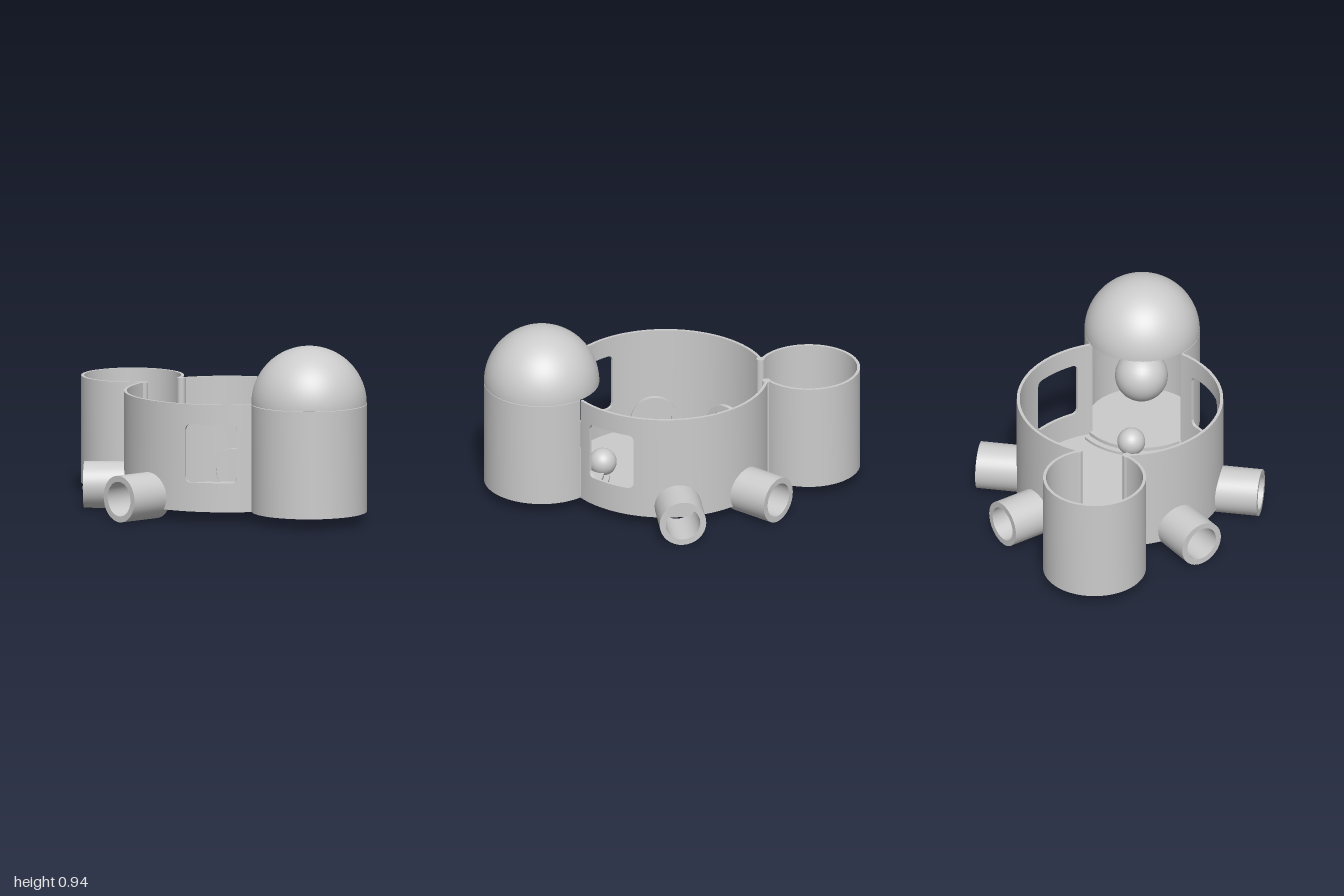
import * as THREE from 'three';
import { toCreasedNormals } from 'three/addons/utils/BufferGeometryUtils.js';

const material = new THREE.MeshStandardMaterial({ color: 0xcccccc, side: THREE.DoubleSide });
const rad = THREE.MathUtils.degToRad;
const FLOOR = 0.06, TOP = 0.632, THICK = 0.016;
const HALL = { z: 0.03, r: 0.545 }, TURRET = { z: 0.69, r: 0.305 }, POD = { z: -0.73, r: 0.272 };

function add(parent, name, geometry, x = 0, y = 0, z = 0) {
  const mesh = new THREE.Mesh(geometry, material);
  mesh.name = name;
  mesh.position.set(x, y, z);
  parent.add(mesh);
  return mesh;
}

// Thick upright wall along an arc; angles in degrees, 0 = front (+z), 90 = +x.
function curvedWall(room, angles, low = () => FLOOR, high = () => TOP) {
  const pos = [], index = [];
  angles.forEach((deg, i) => {
    const s = Math.sin(rad(deg)), c = Math.cos(rad(deg)), inner = room.r - THICK;
    for (const [r, y] of [[room.r, low(deg)], [room.r, high(deg)], [inner, high(deg)], [inner, low(deg)]]) {
      pos.push(r * s, y, room.z + r * c);
    }
    if (!i) return;
    for (let k = 0; k < 4; k++) {
      const a = (i - 1) * 4 + k, b = (i - 1) * 4 + (k + 1) % 4;
      index.push(a, a + 4, b, b, a + 4, b + 4);
    }
  });
  const e = (angles.length - 1) * 4;
  index.push(0, 1, 2, 0, 2, 3, e, e + 2, e + 1, e, e + 3, e + 2);
  const geometry = new THREE.BufferGeometry();
  geometry.setAttribute('position', new THREE.Float32BufferAttribute(pos, 3));
  geometry.setIndex(index);
  return toCreasedNormals(geometry, 0.6);
}

const steps = (a, b, n) => Array.from({ length: n + 1 }, (_, i) => a + (b - a) * i / n);

export function createModel() {
  const model = new THREE.Group();

  // Floors of the three round rooms
  for (const [name, room] of [['hallFloor', HALL], ['turretFloor', TURRET], ['podFloor', POD]]) {
    add(model, name, new THREE.CylinderGeometry(room.r - 0.002, room.r - 0.002, 0.01, 64), 0, FLOOR + 0.005, room.z);
  }

  // Hall walls, each side with one round-cornered window
  const w0 = 35.3, w1 = 65, sill = 0.215, head = 0.525, corner = 0.03;
  const inset = (deg) => {
    const edge = rad(Math.min(deg - w0, w1 - deg)) * HALL.r;
    const d = Math.max(0, corner - edge);
    return corner - Math.sqrt(Math.max(0, corner * corner - d * d));
  };
  const windowAngles = [...steps(w0, w0 + 3.15, 6), ...steps(w0 + 5, w1 - 5, 8), ...steps(w1 - 3.15, w1, 6)];
  for (const side of [1, -1]) {
    const wall = new THREE.Group();
    wall.name = side > 0 ? 'leftHallWall' : 'rightHallWall';
    wall.scale.x = side;
    add(wall, 'frontWallStrip', curvedWall(HALL, steps(27.3, w0, 4)));
    add(wall, 'wallBelowWindow', curvedWall(HALL, windowAngles, undefined, (a) => sill + inset(a)));
    add(wall, 'wallAboveWindow', curvedWall(HALL, windowAngles, (a) => head - inset(a)));
    add(wall, 'sideWall', curvedWall(HALL, steps(w1, 165.1, 40)));
    // Post closing the wall at the pod doorway
    add(wall, 'doorPost', new THREE.CylinderGeometry(0.022, 0.022, TOP - FLOOR, 20), 0.13, (TOP + FLOOR) / 2, -0.49);
    model.add(wall);
  }

  // Domed front turret, open towards the hall
  add(model, 'turretWall', curvedWall(TURRET, steps(-125, 125, 64)));
  add(model, 'turretDome', new THREE.SphereGeometry(TURRET.r, 64, 24, 0, Math.PI * 2, 0, Math.PI / 2), 0, TOP + 0.003, TURRET.z);
  add(model, 'turretBall', new THREE.SphereGeometry(0.14, 32, 20), 0, 0.36, 0.67);

  // Low curved steps at the turret entrance with a small ball
  [[0.36, 0.025], [0.33, 0.045]].forEach(([r, h]) => {
    add(model, 'entranceStep', new THREE.CylinderGeometry(r, r, h, 40, 1, false, rad(133), rad(94)), 0, FLOOR + h / 2, TURRET.z);
  });
  add(model, 'smallBall', new THREE.SphereGeometry(0.074, 28, 18), 0, 0.14, 0.365);

  // Open-topped rear pod
  add(model, 'podWall', curvedWall(POD, steps(31, 329, 64)));

  // Hollow tube sockets around the hall
  const profile = [[0.092, 0.505], [0.124, 0.505], [0.124, 0.755], [0.092, 0.755], [0.092, 0.505]]
    .map(([r, y]) => new THREE.Vector2(r, y));
  const tube = toCreasedNormals(new THREE.LatheGeometry(profile, 32), 0.6);
  for (const deg of [90, 135, 225, 270]) {
    const socket = new THREE.Group();
    socket.name = 'tubeSocket';
    socket.position.set(0, 0.124, HALL.z);
    socket.rotation.y = rad(deg);
    add(socket, 'tube', tube).rotation.x = Math.PI / 2;
    model.add(socket);
  }

  return model;
}
